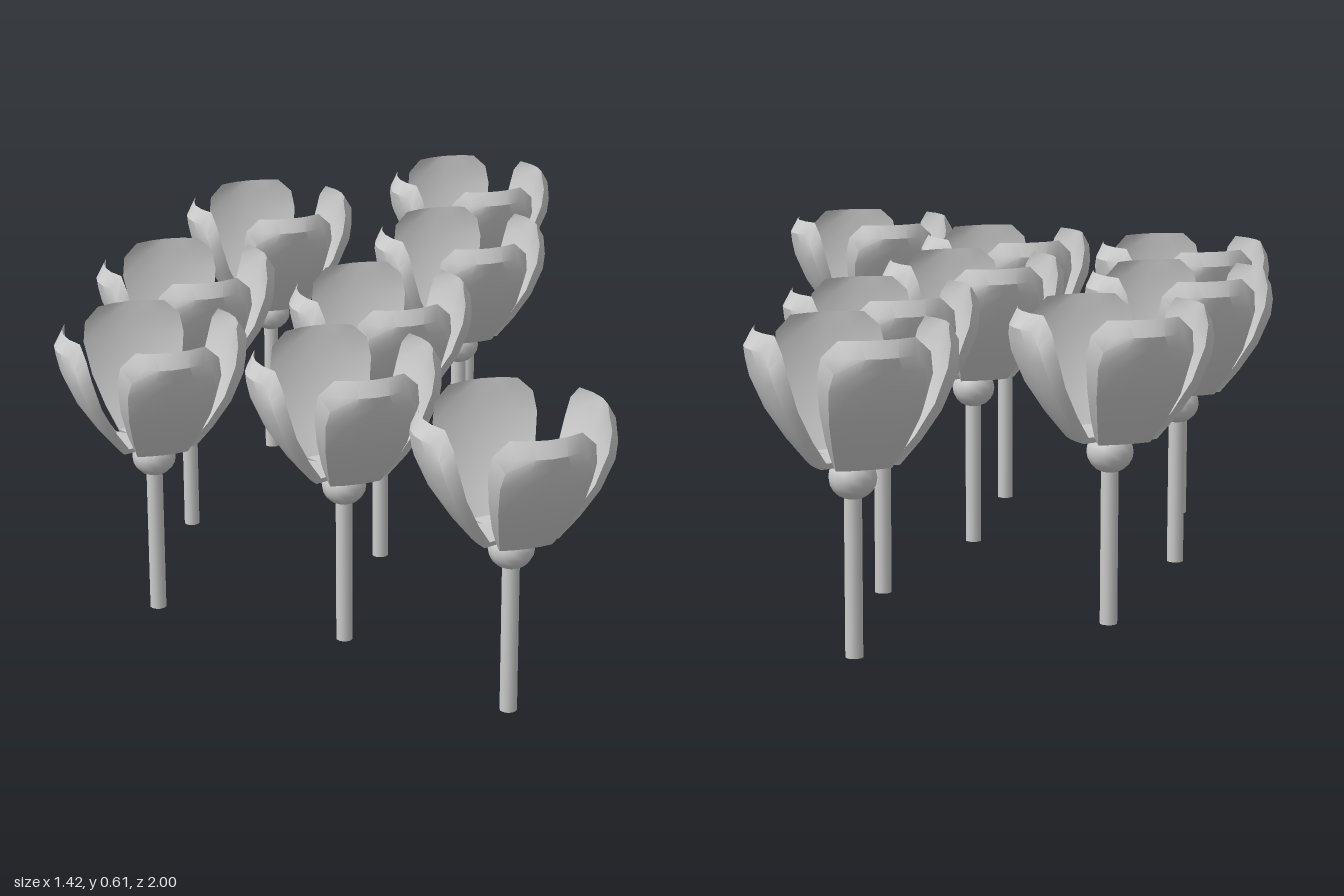
import * as THREE from 'three';
import { toCreasedNormals } from 'three/addons/utils/BufferGeometryUtils.js';

// Petal cross-sections from the flower's centre to the tip:
// inner face (radius, height, half width), then outer face (same)
const SECTIONS = [
  [0, 0.372, 0.035, 0, 0.362, 0.033],
  [0.035, 0.372, 0.035, 0.035, 0.362, 0.033],
  [0.072, 0.376, 0.056, 0.08, 0.364, 0.052],
  [0.105, 0.42, 0.076, 0.118, 0.41, 0.068],
  [0.14, 0.48, 0.095, 0.155, 0.465, 0.083],
  [0.163, 0.545, 0.106, 0.182, 0.525, 0.09],
  [0.172, 0.585, 0.1, 0.19, 0.557, 0.083],
  [0.178, 0.613, 0.07, 0.196, 0.583, 0.06],
];

// Flower positions on the ground (x, z)
const SPOTS = [
  [-0.015, -0.733], [0.511, -0.804], [0.324, -0.364], [-0.329, -0.31],
  [0.012, 0], [-0.515, 0.115], [-0.197, 0.393], [0, 0.804],
];

// Thick cupped petal rising toward +z, lofted through the sections
function petalGeometry() {
  const across = 5;
  const ring = across * 2;
  const positions = [];
  const index = [];
  for (const [ri, yi, wi, ro, yo, wo] of SECTIONS) {
    for (let j = 0; j < across; j++) {
      const u = (2 * j) / (across - 1) - 1;
      positions.push(u * wi, yi, ri * (1 - 0.1 * u * u));
    }
    for (let j = 0; j < across; j++) {
      const u = 1 - (2 * j) / (across - 1);
      positions.push(u * wo, yo, ro * (1 - 0.08 * u * u));
    }
  }
  for (let i = 0; i < SECTIONS.length - 1; i++) {
    for (let j = 0; j < ring; j++) {
      const a = i * ring + j;
      const b = i * ring + ((j + 1) % ring);
      index.push(a, a + ring, b, b, a + ring, b + ring);
    }
  }
  // Bevelled tip
  const base = (SECTIONS.length - 1) * ring;
  for (let j = 0; j < across - 1; j++) {
    const a = base + j;
    const c = base + ring - 1 - j;
    index.push(a, c, a + 1, a + 1, c, c - 1);
  }
  const geometry = new THREE.BufferGeometry();
  geometry.setAttribute('position', new THREE.Float32BufferAttribute(positions, 3));
  geometry.setIndex(index);
  return toCreasedNormals(geometry, 0.6);
}

export function createModel() {
  const model = new THREE.Group();
  model.name = 'flowerPatch';
  const material = new THREE.MeshStandardMaterial({ color: 0xcccccc });

  const stemGeometry = new THREE.CylinderGeometry(0.017, 0.017, 0.32, 12);
  stemGeometry.translate(0, 0.16, 0);
  const budGeometry = new THREE.SphereGeometry(0.045, 14, 10);
  budGeometry.scale(1, 0.92, 1);
  budGeometry.translate(0, 0.336, 0);
  const petal = petalGeometry();

  SPOTS.forEach(([x, z], n) => {
    const flower = new THREE.Group();
    flower.name = `flower${n + 1}`;
    flower.position.set(x, 0, z);

    const add = (geometry, name) => {
      const mesh = new THREE.Mesh(geometry, material);
      mesh.name = name;
      flower.add(mesh);
      return mesh;
    };
    add(stemGeometry, 'stem');
    add(budGeometry, 'budBase');
    // Four petals crossing at the centre
    for (let k = 0; k < 4; k++) {
      add(petal, `petal${k + 1}`).rotation.y = (k * Math.PI) / 2;
    }
    model.add(flower);
  });
  return model;
}
